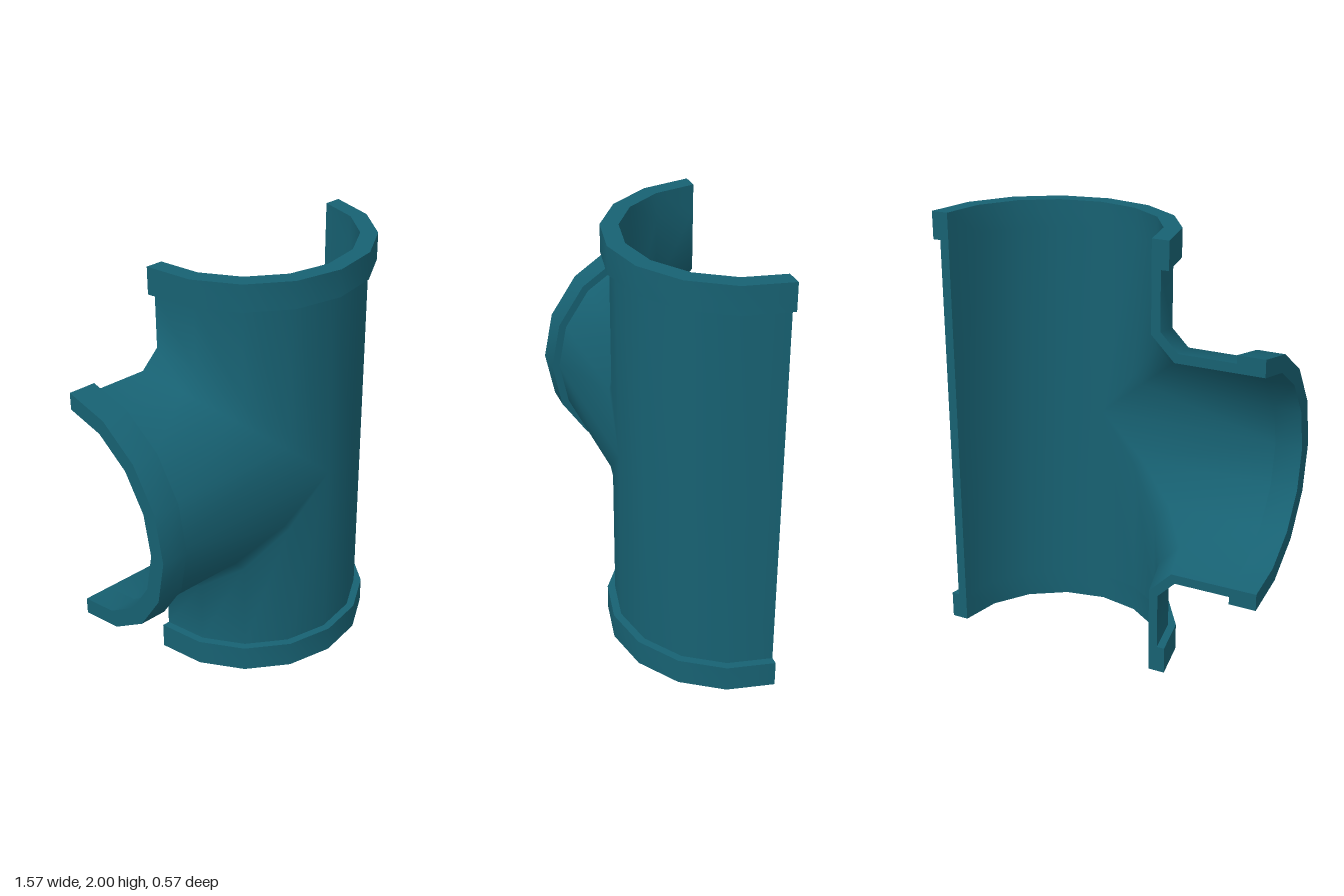
import * as THREE from 'three';
import { toCreasedNormals } from 'three/addons/utils/BufferGeometryUtils.js';

const AX = 0.213, AY = 1, AZ = -0.285;       // where the two pipe axes cross
const R_FLANGE = 0.568, R_OUT = 0.532, R_IN = 0.49;
const FLANGE = 0.125, TOP = 1.875, BRANCH_END = -0.66;
const SIDES = 8;                             // facets in the half circle

// Four-cornered patch, optionally turned to face the other way
function quad(out, a, b, c, d, flip) {
  const order = flip ? [a, c, b, a, d, c] : [a, b, c, a, c, d];
  for (const p of order) out.push(...p);
}

// Line of constant z running down the main pipe, over the chamfer and out along the branch
function elbowLine(k, r, chamfer, s) {
  const t = (k / SIDES) * Math.PI;
  const w = k === SIDES / 2 ? 0 : r * Math.cos(t);
  const c = chamfer * w / r;
  const z = AZ + r * Math.sin(t);
  return [[AX - w, TOP - AY], [AX - w, w + c], [AX - w - c, w], [BRANCH_END, w]]
    .map(([x, y]) => [x, AY + s * y, z]);
}

// Straight line down the side away from the branch
function straightLine(k, r) {
  const t = (k / SIDES) * Math.PI;
  return [TOP, AY, 2 * AY - TOP].map(y => [AX - r * Math.cos(t), y, AZ + r * Math.sin(t)]);
}

function strip(out, p, q, flip) {
  for (let j = 0; j < p.length - 1; j++) quad(out, p[j], p[j + 1], q[j + 1], q[j], flip);
}

// One wall surface of the tee
function skin(out, r, chamfer, inside) {
  const half = SIDES / 2;
  for (let k = 0; k < half; k++) {
    for (const s of [1, -1]) {
      strip(out, elbowLine(k, r, chamfer, s), elbowLine(k + 1, r, chamfer, s), inside !== (s < 0));
    }
    strip(out, straightLine(half + k, r), straightLine(half + k + 1, r), inside);
  }
}

function teeGeometry() {
  const out = [], cOut = 0.083, cIn = 0.107;
  skin(out, R_OUT, cOut, false);
  skin(out, R_IN, cIn, true);
  // flat cut faces of the wall
  for (const s of [1, -1]) {
    strip(out, elbowLine(0, R_OUT, cOut, s), elbowLine(0, R_IN, cIn, s), s > 0);
  }
  strip(out, straightLine(SIDES, R_OUT), straightLine(SIDES, R_IN), false);
  const geo = new THREE.BufferGeometry();
  geo.setAttribute('position', new THREE.Float32BufferAttribute(out, 3));
  return toCreasedNormals(geo, 1.0);
}

// Half-ring collar with its two cut ends
function makeFlange(name, material, x, y, turn) {
  const group = new THREE.Group();
  group.name = name;
  const profile = [[R_IN, 0], [R_FLANGE, 0], [R_FLANGE, FLANGE], [R_IN, FLANGE], [R_IN, 0]]
    .map(([px, py]) => new THREE.Vector2(px, py));
  const ring = new THREE.Mesh(
    toCreasedNormals(new THREE.LatheGeometry(profile, SIDES, -Math.PI / 2, Math.PI), 0.6), material);
  ring.name = name + 'Ring';
  group.add(ring);
  for (const side of [1, -1]) {
    const end = new THREE.Mesh(new THREE.PlaneGeometry(R_FLANGE - R_IN, FLANGE), material);
    end.name = name + 'CutEnd';
    end.rotation.y = Math.PI;
    end.position.set(side * (R_FLANGE + R_IN) / 2, FLANGE / 2, 0);
    group.add(end);
  }
  group.position.set(x, y, AZ);
  group.rotation.z = turn;
  return group;
}

export function createModel() {
  const model = new THREE.Group();
  model.name = 'halfPipeTee';
  const material = new THREE.MeshStandardMaterial({ color: 0x176172 });

  const body = new THREE.Mesh(teeGeometry(), material);
  body.name = 'teeBody';
  model.add(body);

  model.add(
    makeFlange('topFlange', material, AX, TOP, 0),
    makeFlange('bottomFlange', material, AX, 2 * AY - TOP, Math.PI),
    makeFlange('branchFlange', material, BRANCH_END, AY, Math.PI / 2),
  );
  return model;
}
